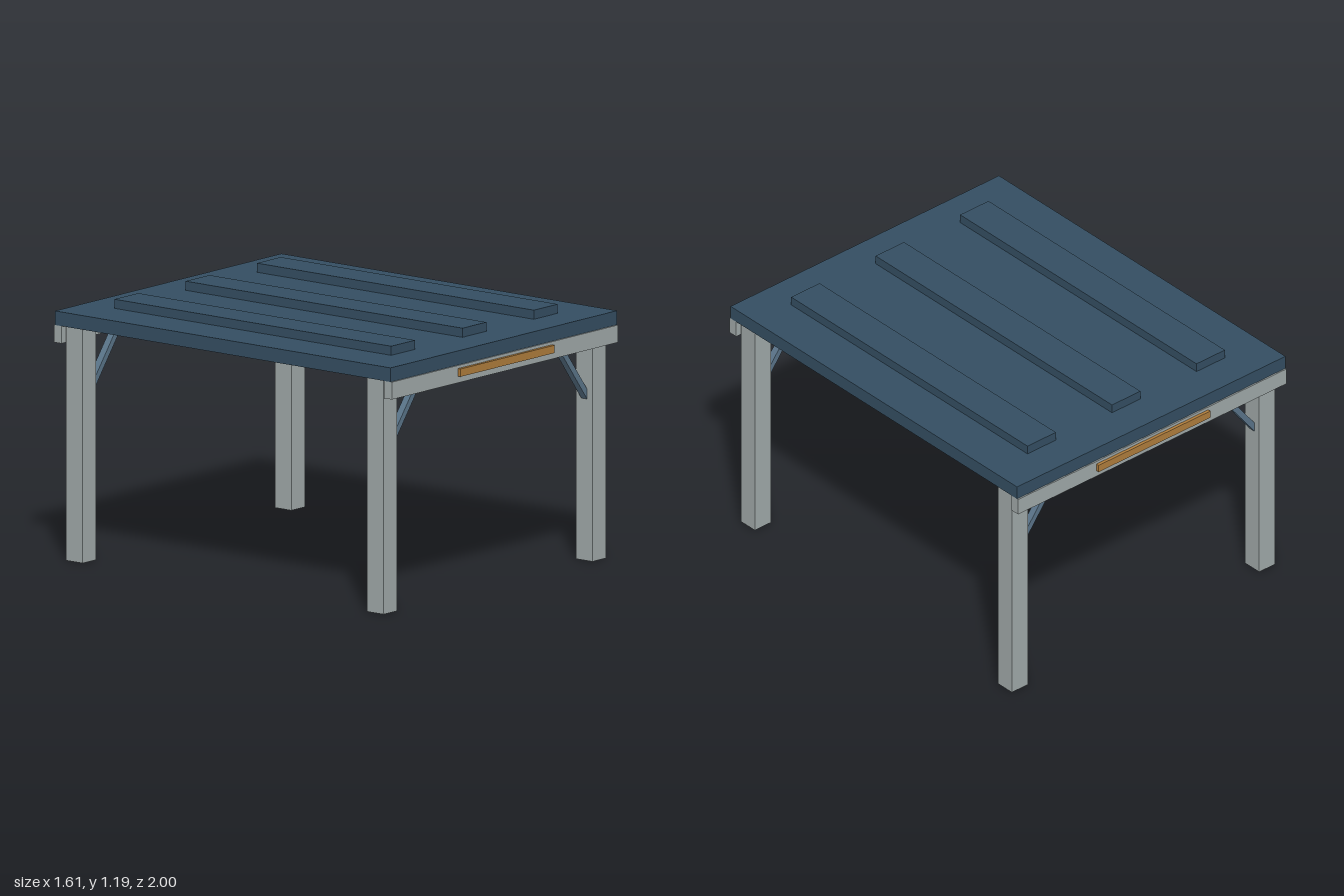
import * as THREE from 'three';

const mat = (name, color) => {
  const m = new THREE.MeshStandardMaterial({ color });
  m.name = name;
  return m;
};

export function createModel() {
  const model = new THREE.Group();
  model.name = 'canopy';

  const navy = mat('navy', 0x344e62);
  const grey = mat('grey', 0xa0a9a9);
  const slate = mat('slate', 0x5a7489);
  const amber = mat('amber', 0xb07d3c);
  const teal = mat('teal', 0x4c9ca5);

  // Box given by its minimum and maximum corners
  const box = (name, material, min, max) => {
    const size = max.map((v, i) => v - min[i]);
    const mesh = new THREE.Mesh(new THREE.BoxGeometry(...size), material);
    mesh.position.set(...max.map((v, i) => (v + min[i]) / 2));
    mesh.name = name;
    model.add(mesh);
    return mesh;
  };

  // Roof slab with three raised strips
  box('roofSlab', navy, [-0.805, 1.08, -0.978], [0.805, 1.145, 0.978]);
  for (const x of [-0.507, 0, 0.507]) {
    box('roofStrip', navy, [x - 0.085, 1.145, -0.807], [x + 0.085, 1.187, 0.807]);
  }

  // Rails under the roof
  for (const x of [-0.565, 0.565]) {
    box('underRail', teal, [x - 0.017, 1.046, -0.79], [x + 0.017, 1.08, 0.79]);
  }

  // Diagonal brace line, from inside the leg up towards the roof
  const foot = new THREE.Vector2(0.71, 0.747);
  const head = new THREE.Vector2(0.475, 1.055);
  const run = head.clone().sub(foot);

  for (const sz of [-1, 1]) {
    // End beam and its sign plate
    const beam = box('endBeam', grey, [-0.805, 1.0, -0.0225], [0.805, 1.08, 0.0225]);
    beam.position.z = sz * 0.9625;
    const plate = box('signPlate', amber, [-0.335, 1.03, -0.0075], [0.335, 1.066, 0.0075]);
    plate.position.z = sz * 0.9925;

    for (const sx of [-1, 1]) {
      // Corner leg
      const leg = box('leg', grey, [-0.048, 0, -0.048], [0.048, 1.08, 0.048]);
      leg.position.x = sx * 0.742;
      leg.position.z = sz * 0.8775;

      // Brace
      const brace = new THREE.Mesh(new THREE.BoxGeometry(run.length(), 0.028, 0.034), slate);
      brace.name = 'brace';
      brace.position.set(sx * (foot.x + head.x) / 2, (foot.y + head.y) / 2, sz * 0.8775);
      brace.rotation.z = Math.atan2(run.y, sx * run.x);
      model.add(brace);
    }
  }

  return model;
}
